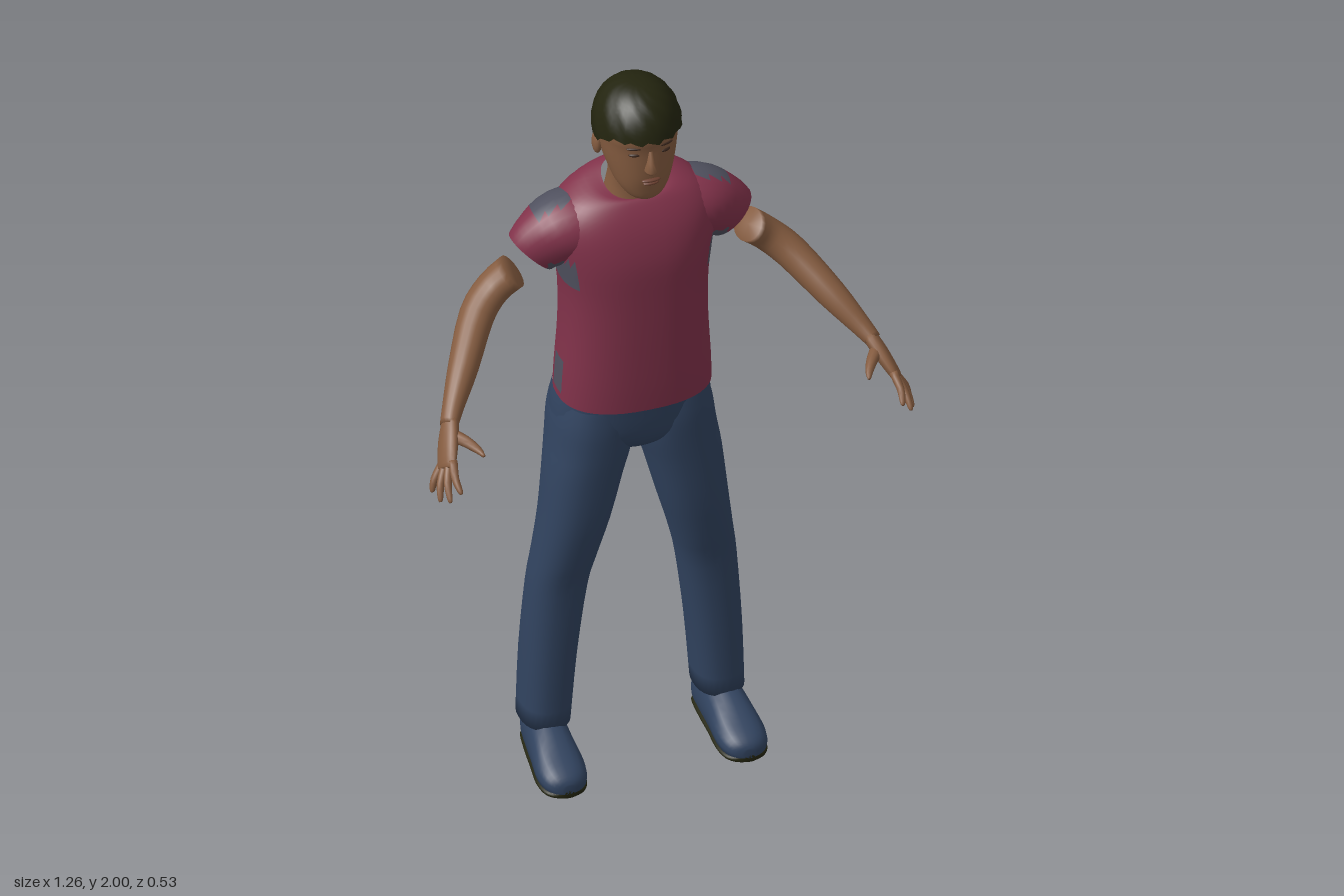
import * as THREE from 'three';

const mat = (name, color, extra) => Object.assign(new THREE.MeshStandardMaterial({ color, ...extra }), { name });

// Fill in rows of a table with Catmull-Rom values, k steps per gap
function refine(rows, k = 3) {
  const out = [], at = i => rows[Math.max(0, Math.min(rows.length - 1, i))];
  for (let i = 0; i < rows.length - 1; i++) for (let s = 0; s < k; s++) {
    const t = s / k, [a, b, c, d] = [at(i - 1), at(i), at(i + 1), at(i + 2)];
    out.push(b.map((p, j) => 0.5 * (2 * p + (c[j] - a[j]) * t + (2 * a[j] - 5 * p + 4 * c[j] - d[j]) * t * t
      + (3 * p - a[j] - 3 * c[j] + d[j]) * t ** 3)));
  }
  out.push(rows[rows.length - 1]);
  return out;
}

const spow = (v, p) => Math.sign(v) * Math.abs(v) ** p;

// Skin rings of points; caps close the ends; isPatch(centre) picks the second material
function loft(rings, { caps = [false, false], isPatch = null } = {}) {
  const n = rings[0].length, pts = rings.flat(), faces = [];
  for (let r = 0; r < rings.length - 1; r++) for (let i = 0; i < n; i++) {
    const a = r * n + i, b = r * n + (i + 1) % n;
    faces.push([a, b, a + n], [b, b + n, a + n]);
  }
  caps.forEach((on, e) => {
    if (!on) return;
    const base = e ? (rings.length - 1) * n : 0, c = new THREE.Vector3();
    for (let i = 0; i < n; i++) c.addScaledVector(pts[base + i], 1 / n);
    pts.push(c);
    for (let i = 0; i < n; i++) {
      const a = base + i, b = base + (i + 1) % n;
      faces.push(e ? [a, b, pts.length - 1] : [b, a, pts.length - 1]);
    }
  });
  // Turn all faces outward
  const mid = pts.reduce((s, p) => s.addScaledVector(p, 1 / pts.length), new THREE.Vector3());
  let volume = 0;
  const rel = i => pts[i].clone().sub(mid);
  for (const [a, b, c] of faces) volume += rel(a).dot(rel(b).cross(rel(c)));
  if (volume < 0) faces.forEach(f => f.reverse());
  const lists = [[], []];
  for (const f of faces) {
    const c = new THREE.Vector3();
    f.forEach(i => c.addScaledVector(pts[i], 1 / 3));
    lists[isPatch && isPatch(c) ? 1 : 0].push(...f);
  }
  const g = new THREE.BufferGeometry().setFromPoints(pts);
  g.setIndex(lists.flat());
  if (isPatch) {
    g.addGroup(0, lists[0].length, 0);
    g.addGroup(lists[0].length, lists[1].length, 1);
  }
  g.computeVertexNormals();
  return g;
}

// Level ring from x range and z range; tilt lowers the front
function levelRing([y, x0, x1, zf, zb, tilt = 0], n, p) {
  return Array.from({ length: n }, (_, i) => {
    const a = i / n * Math.PI * 2, dz = (zf - zb) / 2 * spow(Math.sin(a), p);
    return new THREE.Vector3((x0 + x1) / 2 + (x1 - x0) / 2 * spow(Math.cos(a), p), y - tilt * dz, (zf + zb) / 2 + dz);
  });
}
const stack = (rows, n = 28, p = 0.85, opts = {}, k = 3) => loft(refine(rows, k).map(r => levelRing(r, n, p)), opts);
const symmetric = rows => rows.map(([y, rx, zf, zb, t = 0]) => [y, -rx, rx, zf, zb, t]);

// Limb along rows [x, y, z, radius across, radius toward z]
function limb(rows, side, n = 14, opts = { caps: [true, true] }, k = 3) {
  const fine = refine(rows, k), P = fine.map(r => new THREE.Vector3(r[0], r[1], r[2]));
  return loft(fine.map((r, i) => {
    const t = P[Math.min(i + 1, P.length - 1)].clone().sub(P[Math.max(i - 1, 0)]).normalize();
    const b = new THREE.Vector3(0, 0, 1).addScaledVector(t, -t.z).normalize(), a = t.clone().cross(b);
    return Array.from({ length: n }, (_, j) => {
      const u = j / n * Math.PI * 2;
      const q = P[i].clone().addScaledVector(a, r[3] * Math.cos(u)).addScaledVector(b, r[4] * Math.sin(u));
      q.x *= side;
      return q;
    });
  }), opts);
}

// Shoe-like body from rows [z, centre x, half width, top], standing on a flat base
function shoeBody(rows, side, base, top) {
  return loft(refine(rows).map(([z, x, w, h]) => Array.from({ length: 20 }, (_, i) => {
    const a = i / 20 * Math.PI * 2, s = Math.sin(a), hi = top ?? h;
    const y = base + (hi - base) * (s > 0 ? 0.35 + 0.65 * s : 0.35 + 0.35 * spow(s, 0.4));
    return new THREE.Vector3(side * (x + w * spow(Math.cos(a), 0.8)), y, z);
  })), { caps: [true, true] });
}

// Hair cap whose lower edge runs from fringe to nape
function hairCap() {
  const n = 48, rings = [];
  for (let r = 1; r <= 14; r++) rings.push(Array.from({ length: n }, (_, i) => {
    const a = i / n * Math.PI * 2, f = Math.sin(a);
    const edge = (f > 0 ? 1.852 + 0.043 * Math.min(1, f * 1.6) : 1.852 + 0.07 * f) + 0.005 * Math.sin(i * 2.1);
    const th = Math.acos((edge - 1.88) / 0.12) * r / 14, w = Math.sin(th) ** 0.85 * (1 + 0.012 * Math.sin(i * 1.7 + r));
    return new THREE.Vector3(0.11 * w * Math.cos(a), 1.88 + 0.12 * Math.cos(th), -0.08 + 0.13 * w * f);
  }));
  return loft(rings, { caps: [true, false] });
}

export function createModel() {
  const model = new THREE.Group();
  model.name = 'standingMan';
  const skin = mat('skin', 0x855c40), shirt = mat('shirt', 0x81324a), denim = mat('denim', 0x31435f);
  const hair = mat('hair', 0x23240f, { side: THREE.DoubleSide }), grey = mat('shirtPatch', 0x50515f);
  const dark = mat('faceDark', 0x3a261c), lip = mat('lips', 0x6b4030);
  const add = (name, geometry, material) => {
    const m = new THREE.Mesh(geometry, material);
    m.name = name;
    model.add(m);
    return m;
  };
  const blob = (name, material, [x, y, z], [sx, sy, sz]) => {
    const m = add(name, new THREE.SphereGeometry(1, 16, 10), material);
    m.position.set(x, y, z);
    m.scale.set(sx, sy, sz);
    return m;
  };

  // Shirt body
  add('shirtBody', stack(symmetric([
    [1.075, 0.197, 0.025, -0.257], [1.15, 0.194, 0.028, -0.255], [1.28, 0.186, 0.029, -0.25], [1.4, 0.187, 0.028, -0.25],
    [1.5, 0.2, 0.026, -0.253], [1.57, 0.21, 0.012, -0.253], [1.62, 0.2, -0.008, -0.247], [1.66, 0.165, -0.03, -0.232, 0.05],
    [1.685, 0.115, -0.043, -0.21, 0.2], [1.69, 0.075, -0.05, -0.185, 0.35]]), 44, 0.82, {
    isPatch: c => Math.abs(c.x) > 0.17 && (Math.abs(c.y - 1.475) < 0.04
      || (c.y > 1.1 && c.y < 1.2 && Math.abs(c.z + 0.115) < 0.025)) }), [shirt, grey]);

  // Head and neck
  add('neck', stack(symmetric([[1.62, 0.075, -0.045, -0.19], [1.69, 0.066, -0.055, -0.168],
    [1.74, 0.063, -0.05, -0.158], [1.81, 0.068, -0.04, -0.17]]), 24), skin);
  add('head', stack(symmetric([[1.703, 0.025, 0.008, -0.04], [1.715, 0.046, 0.018, -0.07], [1.742, 0.067, 0.024, -0.11],
    [1.775, 0.08, 0.029, -0.15], [1.815, 0.091, 0.03, -0.18], [1.86, 0.098, 0.03, -0.195], [1.9, 0.1, 0.034, -0.195],
    [1.95, 0.083, 0.01, -0.17], [1.98, 0.04, -0.04, -0.12]]), 28, 0.9, { caps: [true, true] }), skin);
  add('hair', hairCap(), hair);
  add('nose', loft([[1.86, 0.007, 0.034], [1.83, 0.011, 0.043], [1.808, 0.018, 0.054], [1.797, 0.015, 0.042]]
    .map(([y, w, z]) => levelRing([y, -w, w, z, 0.01], 12, 1)), { caps: [true, true] }), skin);
  blob('upperLip', lip, [0, 1.774, 0.028], [0.025, 0.005, 0.009]);
  blob('lowerLip', lip, [0, 1.765, 0.027], [0.021, 0.005, 0.009]);

  for (const s of [1, -1]) {
    const side = s > 0 ? 'left' : 'right';
    blob(side + 'Ear', skin, [s * 0.098, 1.828, -0.098], [0.012, 0.032, 0.02]);
    blob(side + 'Eye', dark, [s * 0.04, 1.852, 0.019], [0.015, 0.005, 0.007]).rotation.y = s * 0.3;
    blob(side + 'Brow', dark, [s * 0.041, 1.872, 0.021], [0.021, 0.004, 0.006]).rotation.y = s * 0.3;

    // Open sleeve
    add(side + 'Sleeve', limb([[0.08, 1.58, -0.13, 0.085, 0.1], [0.175, 1.572, -0.13, 0.087, 0.098],
      [0.232, 1.538, -0.13, 0.081, 0.076], [0.26, 1.512, -0.13, 0.073, 0.06]], s, 28, {
      isPatch: c => (c.y > 1.615 && Math.abs(c.x) > 0.17 && Math.abs(c.x) < 0.25 && c.z < -0.1)
        || (c.y < 1.51 && Math.abs(c.x) < 0.235) }, 4), [shirt, grey]);

    // Arm, palm, fingers and thumb
    add(side + 'Arm', limb([[0.307, 1.462, -0.13, 0.043, 0.05], [0.355, 1.42, -0.135, 0.042, 0.048],
      [0.41, 1.373, -0.1, 0.043, 0.046], [0.48, 1.298, 0, 0.038, 0.038], [0.53, 1.24, 0.07, 0.027, 0.028],
      [0.553, 1.212, 0.105, 0.021, 0.026]], s, 18), skin);
    add(side + 'Palm', limb([[0.545, 1.222, 0.093, 0.019, 0.025], [0.565, 1.187, 0.135, 0.019, 0.036],
      [0.585, 1.15, 0.18, 0.014, 0.037], [0.589, 1.143, 0.188, 0.008, 0.03]], s), skin);
    [[0.575, 1.115, 0.265], [0.6, 1.088, 0.255], [0.615, 1.072, 0.222], [0.622, 1.074, 0.178]].forEach((tip, i) => {
      const o = 0.027 - i * 0.018, base = [0.583 - 0.34 * o, 1.152 + 0.64 * o, 0.178 + 0.69 * o];
      const at = (t, bend) => base.map((v, j) => v + (tip[j] - v) * t + (j === 0 ? bend : 0));
      add(side + 'Finger' + (i + 1), limb([[...at(0, 0), 0.011, 0.011], [...at(0.5, 0.006), 0.01, 0.01],
        [...at(0.9, 0.002), 0.007, 0.007], [...at(1, 0), 0.003, 0.003]], s, 10), skin);
    });
    add(side + 'Thumb', limb([[0.558, 1.2, 0.125, 0.016, 0.018], [0.53, 1.197, 0.165, 0.014, 0.015],
      [0.51, 1.19, 0.2, 0.01, 0.01], [0.502, 1.184, 0.222, 0.004, 0.004]], s, 10), skin);

    // Trouser leg
    add(side + 'TrouserLeg', stack([[0.105, 0.163, 0.29, -0.05, -0.213], [0.3, 0.146, 0.284, -0.05, -0.21],
      [0.5, 0.12, 0.27, -0.048, -0.2], [0.6, 0.098, 0.256, -0.032, -0.2], [0.72, 0.064, 0.24, -0.016, -0.204],
      [0.85, 0.03, 0.226, -0.01, -0.222], [0.93, 0.006, 0.214, -0.007, -0.248], [1.0, 0, 0.205, -0.006, -0.262],
      [1.06, 0.01, 0.19, -0.012, -0.255]].map(([y, a, b, ...z]) => s > 0 ? [y, a, b, ...z] : [y, -b, -a, ...z]),
    28, 0.85, { caps: [true, false] }), denim);

    // Shoe and sole
    const shoe = [[-0.21, 0.222, 0.02, 0.085], [-0.195, 0.223, 0.042, 0.11], [-0.12, 0.227, 0.052, 0.13],
      [-0.05, 0.231, 0.057, 0.115], [0.02, 0.234, 0.063, 0.085], [0.065, 0.235, 0.056, 0.066],
      [0.088, 0.235, 0.037, 0.05], [0.096, 0.235, 0.014, 0.036]];
    add(side + 'Shoe', shoeBody(shoe, s, 0.01), denim);
    add(side + 'Sole', shoeBody(shoe, s, 0, 0.02), hair);
  }

  // Trouser seat
  add('trouserSeat', stack(symmetric([[0.915, 0.07, -0.05, -0.2], [0.94, 0.15, -0.025, -0.235], [0.97, 0.202, -0.01, -0.255],
    [1.01, 0.203, -0.003, -0.265], [1.05, 0.198, 0.001, -0.266], [1.09, 0.188, 0.005, -0.25]]), 36, 0.82,
  { caps: [true, true] }), denim);
  return model;
}
